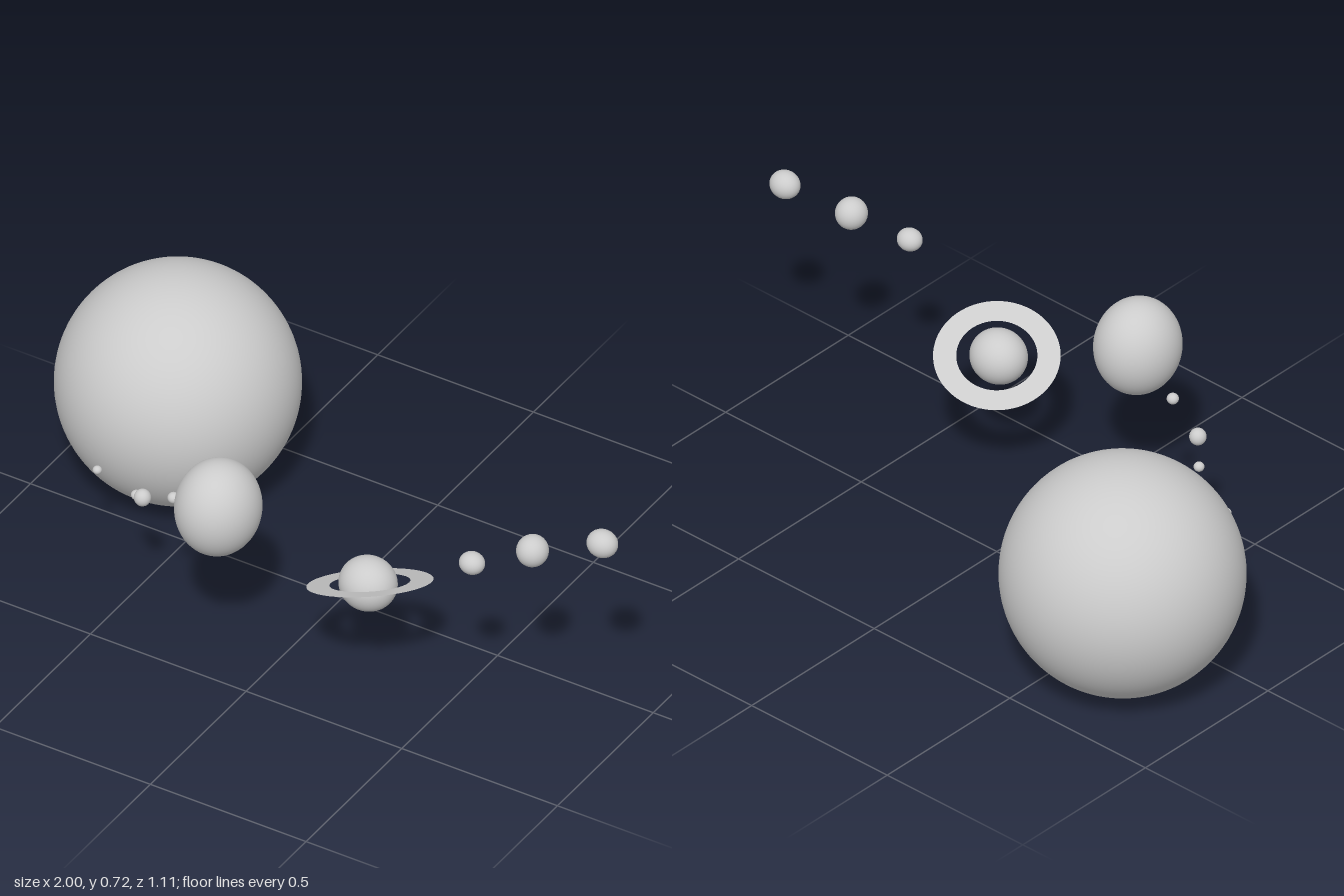
import * as THREE from 'three';

const grey = new THREE.MeshStandardMaterial({ color: 0xcccccc });

// Smooth ellipsoid: centre and half sizes
function ball(name, centre, radii, segments = 48) {
  const mesh = new THREE.Mesh(new THREE.SphereGeometry(1, segments, segments * 0.75), grey);
  mesh.name = name;
  mesh.position.set(...centre);
  mesh.scale.set(...radii);
  return mesh;
}

export function createModel() {
  const group = new THREE.Group();
  group.name = 'solarSystem';

  group.add(ball('sun', [-0.66, 0.344, -0.217], [0.34, 0.344, 0.339], 80));

  // Inner planets, out from the sun
  group.add(
    ball('firstPlanet', [-0.652, 0.321, 0.217], [0.013, 0.012, 0.013], 24),
    ball('secondPlanet', [-0.479, 0.353, 0.295], [0.015, 0.014, 0.015], 24),
    ball('thirdPlanet', [-0.425, 0.4, 0.35], [0.024, 0.025, 0.024], 24),
    ball('fourthPlanet', [-0.31, 0.46, 0.375], [0.017, 0.016, 0.017], 24),
  );

  // Tall giant planet
  group.add(ball('giantPlanet', [-0.135, 0.53, 0.426], [0.119, 0.142, 0.127], 64));

  // Ringed planet with its tilted flat ring
  group.add(ball('ringedPlanet', [0.278, 0.36, 0.315], [0.083, 0.078, 0.077]));
  const ring = new THREE.Mesh(
    new THREE.RingGeometry(0.111, 0.1746, 96),
    new THREE.MeshStandardMaterial({ color: 0xcccccc, side: THREE.DoubleSide }),
  );
  ring.name = 'planetRing';
  ring.position.set(0.282, 0.361, 0.312);
  const ringAxis = new THREE.Vector3(-0.27, 0.911, -0.31).normalize();
  ring.quaternion.setFromUnitVectors(new THREE.Vector3(0, 0, 1), ringAxis);
  group.add(ring);

  // Outer planets
  group.add(
    ball('seventhPlanet', [0.624, 0.577, 0.335], [0.037, 0.032, 0.034], 32),
    ball('eighthPlanet', [0.774, 0.632, 0.263], [0.045, 0.046, 0.046], 32),
    ball('ninthPlanet', [0.954, 0.681, 0.191], [0.045, 0.04, 0.04], 32),
  );

  return group;
}
